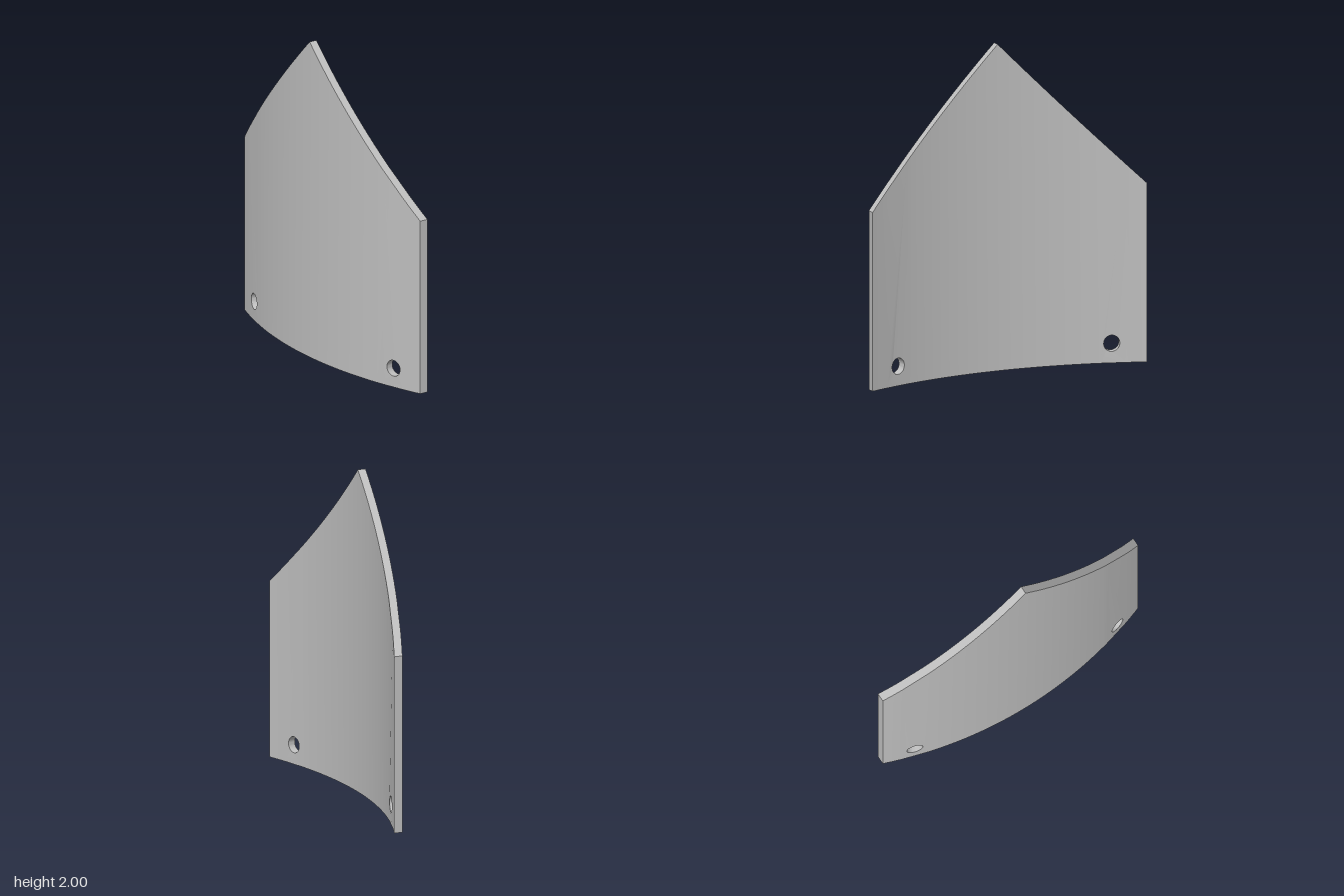
import * as THREE from 'three';
import { toCreasedNormals } from 'three/addons/utils/BufferGeometryUtils.js';

const R = 2.566, T = 0.05, HALF = 0.908;   // outer radius, thickness, half chord
const BASE = Math.sqrt(R * R - HALF * HALF);
const HOLE_U = 0.72, HOLE_Y = 0.12, HOLE_R = 0.05, SEG = 32;

const topY = (u) => 1.095 + 0.905 * (1 - Math.abs(u) / HALF);
// Point on the outer or inner cylinder at chord position u
const at = (u, y, r) => [u, y, Math.sqrt(r * r - u * u) - BASE];

// Rim points of a hole bored along the cylinder's radius
function holePoints(side, r) {
  const k = r / R, pts = [];
  for (let i = 0; i < SEG; i++) {
    const a = (i / SEG) * Math.PI * 2;
    pts.push(new THREE.Vector2(k * (side * HOLE_U + 0.96 * HOLE_R * Math.cos(a)), HOLE_Y + HOLE_R * Math.sin(a)));
  }
  return pts;
}

// Column borders across the plate, mirrored, with one wide column per hole
function columns() {
  const half = [];
  for (let i = 1; i <= 16; i++) half.push(i * 0.04);
  half.push(0.79, 0.83, 0.87, HALF);
  return [...half.map((u) => -u).reverse(), 0, ...half];
}

export function createModel() {
  const grey = new THREE.MeshStandardMaterial({ color: 0xc0c0c0 });
  grey.name = 'plain grey';
  const pos = [];
  const quad = (a, b, c, d) => pos.push(...a, ...b, ...c, ...a, ...c, ...d);
  const us = columns();

  // Curved outer and inner faces, column by column
  for (const r of [R, R - T]) {
    for (let i = 0; i < us.length - 1; i++) {
      const u = us[i], v = us[i + 1];
      const shape = new THREE.Shape([
        new THREE.Vector2(u, 0), new THREE.Vector2(v, 0),
        new THREE.Vector2(v, topY(v)), new THREE.Vector2(u, topY(u)),
      ]);
      const mid = (u + v) / 2;
      if (Math.abs(Math.abs(mid) - HOLE_U) < 0.03) {
        shape.holes.push(new THREE.Path(holePoints(Math.sign(mid), r)));
      }
      const flat = new THREE.ShapeGeometry(shape), p = flat.attributes.position, idx = flat.index.array;
      for (let k = 0; k < idx.length; k += 3) {
        const tri = r === R ? [0, 1, 2] : [0, 2, 1];
        for (const j of tri) pos.push(...at(p.getX(idx[k + j]), p.getY(idx[k + j]), r));
      }
    }
  }

  // Edge walls following the outline anticlockwise
  const outline = [...us.map((u) => [u, 0]), ...us.slice().reverse().map((u) => [u, topY(u)])];
  outline.forEach(([u, y], i) => {
    const [v, w] = outline[(i + 1) % outline.length];
    quad(at(u, y, R), at(u, y, R - T), at(v, w, R - T), at(v, w, R));
  });

  // Walls of the two bolt holes
  for (const side of [-1, 1]) {
    const out = holePoints(side, R), inn = holePoints(side, R - T);
    for (let i = 0; i < SEG; i++) {
      const j = (i + 1) % SEG;
      quad(at(out[i].x, out[i].y, R), at(out[j].x, out[j].y, R),
        at(inn[j].x, inn[j].y, R - T), at(inn[i].x, inn[i].y, R - T));
    }
  }

  const geometry = new THREE.BufferGeometry();
  geometry.setAttribute('position', new THREE.Float32BufferAttribute(pos, 3));
  const plate = new THREE.Mesh(toCreasedNormals(geometry, 0.5), grey);
  plate.name = 'curvedPlate';
  plate.rotation.y = -0.332;
  plate.position.set(-0.0085, 0, 0.024);

  const model = new THREE.Group();
  model.name = 'curvedPointedPlate';
  model.add(plate);
  return model;
}
